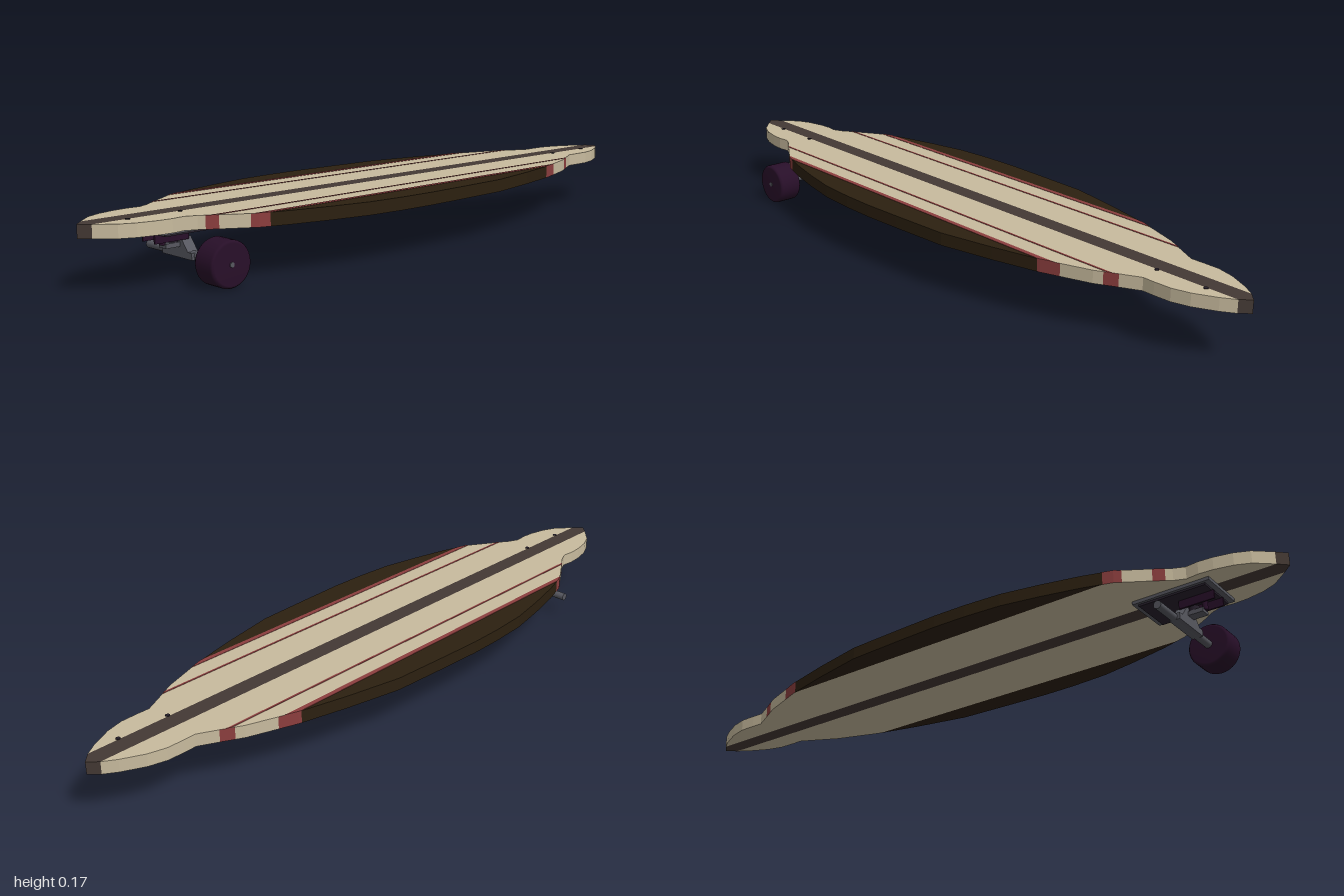
import * as THREE from 'three';

const mat = (name, color) => {
  const m = new THREE.MeshStandardMaterial({ color });
  m.name = name;
  return m;
};

const TOP = 0.172, THICK = 0.035, TRUCK_X = -0.705, AXLE_Y = 0.061;

// Half width of the deck along its length: [x, z]
const OUTLINE = [
  [-1, 0], [-0.975, 0.025], [-0.93, 0.065], [-0.89, 0.083], [-0.84, 0.094], [-0.8, 0.097], [-0.765, 0.093],
  [-0.735, 0.106], [-0.7, 0.13], [-0.61, 0.187], [-0.53, 0.213], [-0.42, 0.24], [-0.31, 0.262],
  [-0.2, 0.27], [-0.1, 0.272], [0.02, 0.268], [0.2, 0.26], [0.36, 0.228], [0.5, 0.194],
  [0.635, 0.147], [0.69, 0.118], [0.745, 0.09], [0.78, 0.091], [0.83, 0.09], [0.88, 0.077],
  [0.94, 0.048], [0.975, 0.025], [1, 0],
];

// Upper edge of the outline clipped between two distances from the centre line
function bandShape(z0, z1, side) {
  const pts = [];
  OUTLINE.forEach(([x, w], i) => {
    if (i > 0) {
      const [px, pw] = OUTLINE[i - 1];
      [z0, z1]
        .map((z) => [(z - pw) / (w - pw), z])
        .filter(([t]) => t > 0 && t < 1)
        .sort((a, b) => a[0] - b[0])
        .forEach(([t, z]) => pts.push([px + (x - px) * t, z]));
    }
    if (w >= z0) pts.push([x, Math.min(w, z1)]);
  });
  const edge = pts.map(([x, z]) => new THREE.Vector2(x, z * side));
  const first = edge[0], last = edge[edge.length - 1];
  if (Math.abs(last.y) > z0 + 1e-6) edge.push(new THREE.Vector2(last.x, z0 * side));
  if (Math.abs(first.y) > z0 + 1e-6) edge.unshift(new THREE.Vector2(first.x, z0 * side));
  return new THREE.Shape(edge);
}

export function createModel() {
  const cream = mat('pale wood', 0xc8bb9e);
  const brown = mat('dark wood', 0x2c2010);
  const grey = mat('centre stripe', 0x443934);
  const red = mat('red stripe', 0x8c3e3e);
  const purple = mat('wheel rubber', 0x280f29);
  const metal = mat('truck metal', 0x575860);
  const dark = mat('dark hardware', 0x27202c);

  const model = new THREE.Group();
  const add = (parent, name, geo, material, x = 0, y = 0, z = 0) => {
    const m = new THREE.Mesh(geo, material);
    m.name = name;
    m.position.set(x, y, z);
    parent.add(m);
    return m;
  };
  const box = (x, y, z) => new THREE.BoxGeometry(x, y, z);

  // Deck made of lengthwise bands: [name, inner z, outer z, face, edge]
  const deck = new THREE.Group();
  deck.name = 'deck';
  model.add(deck);
  const band = (name, z0, z1, side, y, depth, mats) => {
    const geo = new THREE.ExtrudeGeometry(bandShape(z0, z1, side), { depth, bevelEnabled: false });
    geo.rotateX(Math.PI / 2);
    add(deck, name, geo, mats, 0, y, 0);
  };
  const bands = [
    ['centreStripe', 0, 0.025, grey, grey],
    ['innerBoard', 0.025, 0.117, cream, cream],
    ['innerAccent', 0.117, 0.135, cream, red],
    ['middleBoard', 0.135, 0.176, cream, cream],
    ['outerAccent', 0.176, 0.196, cream, red],
    ['outerBoard', 0.196, 0.3, brown, brown],
  ];
  for (const side of [1, -1]) {
    for (const [name, z0, z1, face, edge] of bands) band(name, z0, z1, side, TOP, THICK, [face, edge]);
    // Painted pinstripes on the top face
    band('innerPinstripe', 0.125, 0.131, side, TOP + 0.001, 0.0015, red);
    band('outerPinstripe', 0.182, 0.196, side, TOP + 0.001, 0.0015, red);
  }

  // Screw heads beside the centre stripe
  for (const x of [-0.88, -0.73, 0.735, 0.885]) {
    add(deck, 'screwHead', new THREE.CylinderGeometry(0.006, 0.006, 0.002, 10), dark, x, TOP + 0.001, 0.029);
  }

  // Truck under the tail
  const truck = new THREE.Group();
  truck.name = 'truck';
  truck.position.x = TRUCK_X;
  model.add(truck);
  add(truck, 'riserPad', box(0.22, 0.009, 0.144), metal, 0, 0.1325, 0);
  add(truck, 'basePlate', box(0.19, 0.006, 0.128), dark, 0, 0.125, 0);

  // Bracket with two cheeks around the kingpin
  for (const side of [1, -1]) {
    add(truck, 'bracketCheek', box(0.1, 0.024, 0.005), purple, -0.05, 0.111, 0.025 * side);
  }
  add(truck, 'kingpin', new THREE.CylinderGeometry(0.008, 0.008, 0.036, 14), purple, -0.06, 0.106, 0);
  add(truck, 'bushing', new THREE.CylinderGeometry(0.014, 0.014, 0.016, 16), dark, -0.03, 0.098, 0);
  add(truck, 'pivot', new THREE.CylinderGeometry(0.008, 0.008, 0.03, 14), purple, 0, 0.112, 0);

  // Hanger with a tapered hump
  const hump = new THREE.Shape([
    [-0.062, 0.052], [0.062, 0.052], [0.062, 0.07], [0.046, 0.07], [0.018, 0.104], [-0.018, 0.104], [-0.046, 0.07], [-0.062, 0.07],
  ].map(([z, y]) => new THREE.Vector2(z, y)));
  const humpGeo = new THREE.ExtrudeGeometry(hump, { depth: 0.03, bevelEnabled: false });
  humpGeo.rotateY(Math.PI / 2);
  add(truck, 'hanger', humpGeo, metal, -0.018, 0, 0);
  add(truck, 'hangerArm', box(0.05, 0.012, 0.03), metal, -0.035, 0.086, 0);
  const axle = new THREE.CylinderGeometry(0.011, 0.011, 0.3, 16).rotateX(Math.PI / 2);
  add(truck, 'axle', axle, metal, 0, AXLE_Y, 0.005);

  // Wheel with rounded shoulders and an axle nut
  const profile = [[0, -0.036], [0.052, -0.036], [0.057, -0.034], [0.06, -0.029], [0.06, 0.029], [0.057, 0.034], [0.052, 0.036], [0, 0.036]]
    .map(([r, y]) => new THREE.Vector2(r, y));
  const wheelGeo = new THREE.LatheGeometry(profile, 32).rotateX(Math.PI / 2);
  add(truck, 'wheel', wheelGeo, purple, 0, AXLE_Y, 0.163);
  const nut = new THREE.CylinderGeometry(0.007, 0.007, 0.003, 6).rotateX(Math.PI / 2);
  add(truck, 'axleNut', nut, metal, 0, AXLE_Y, 0.1995);

  return model;
}
